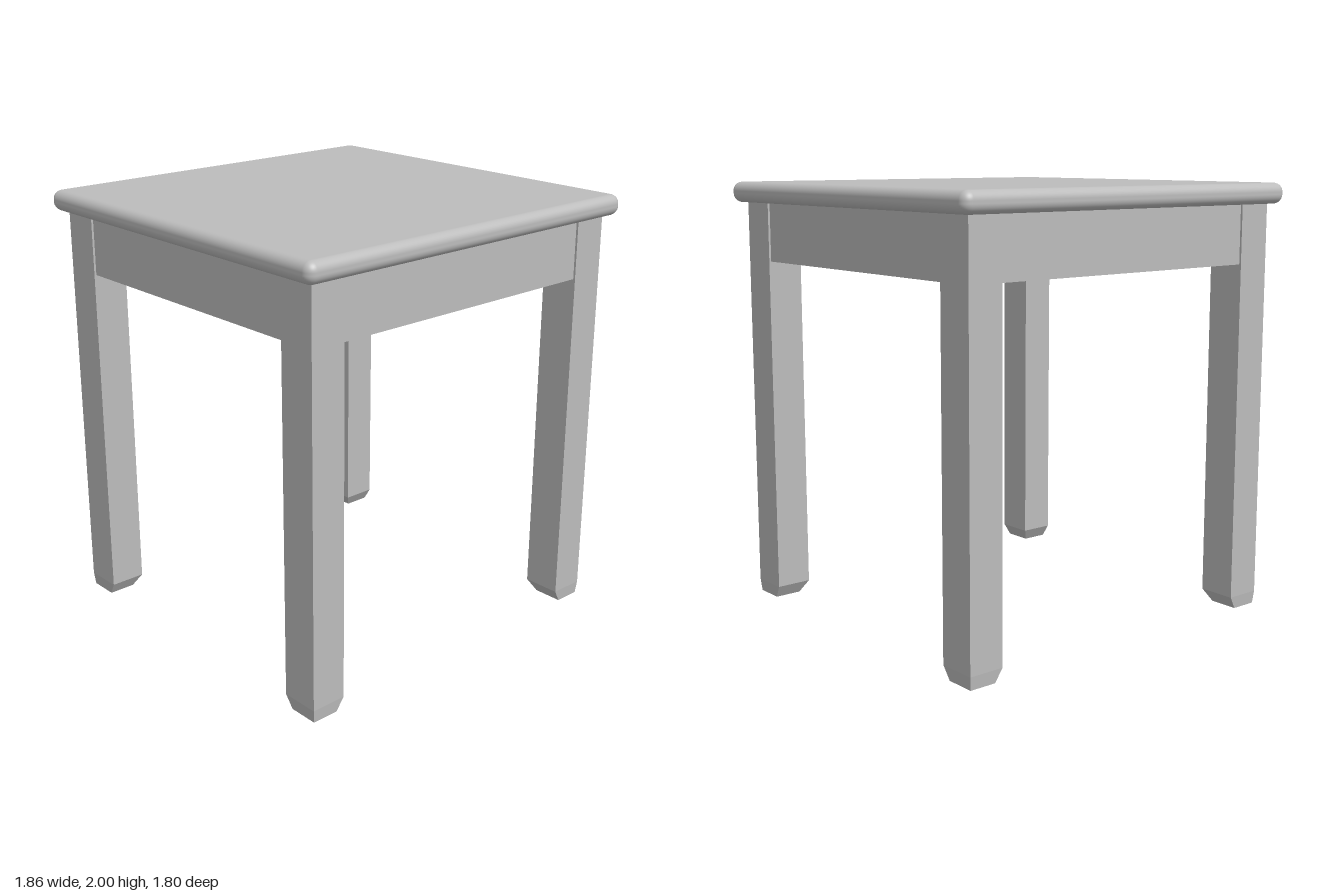
import * as THREE from 'three';
import { RoundedBoxGeometry } from 'three/addons/geometries/RoundedBoxGeometry.js';

const grey = new THREE.MeshStandardMaterial({ color: 0xbcbcbc });
grey.name = 'plain grey';

function add(group, name, geometry, x, y, z) {
  const mesh = new THREE.Mesh(geometry, grey);
  mesh.name = name;
  mesh.position.set(x, y, z);
  group.add(mesh);
}

// Square leg whose foot is chamfered on the two inward sides
function legGeometry(w, h, d, sx, sz) {
  const geo = new THREE.BoxGeometry(w, h, d, 1, 2, 1);
  const p = geo.attributes.position;
  for (let i = 0; i < p.count; i++) {
    const y = p.getY(i);
    if (Math.abs(y) < 0.001) p.setY(i, -h / 2 + 0.06);
    else if (y < 0) {
      const inX = p.getX(i) * sx < 0, inZ = p.getZ(i) * sz < 0;
      p.setX(i, p.getX(i) - (inX ? -sx : sx) * (inX ? 0.035 : 0.006));
      p.setZ(i, p.getZ(i) - (inZ ? -sz : sz) * (inZ ? 0.035 : 0.006));
    }
  }
  const flat = geo.toNonIndexed();
  flat.computeVertexNormals();
  return flat;
}

export function createModel() {
  const table = new THREE.Group();
  table.name = 'table';

  // Slab top with rounded rim
  add(table, 'tableTop', new RoundedBoxGeometry(1.855, 0.095, 1.8, 5, 0.042), 0, 1.9525, 0);

  // Four corner legs
  const w = 0.168, d = 0.18, h = 1.91;
  for (const sx of [-1, 1]) for (const sz of [-1, 1]) {
    const name = (sz > 0 ? 'front' : 'back') + (sx > 0 ? 'Left' : 'Right') + 'Leg';
    add(table, name, legGeometry(w, h, d, sx, sz), sx * (0.867 - w / 2), h / 2, sz * (0.841 - d / 2));
  }

  // Aprons between the legs, set just behind the leg faces
  const t = 0.14, ah = 0.275, ay = 1.635 + ah / 2;
  for (const s of [-1, 1]) {
    add(table, s > 0 ? 'frontApron' : 'backApron',
      new THREE.BoxGeometry(1.42, ah, t), 0, ay, s * (0.831 - t / 2));
    add(table, s > 0 ? 'leftApron' : 'rightApron',
      new THREE.BoxGeometry(t, ah, 1.34), s * (0.857 - t / 2), ay, 0);
  }
  return table;
}
